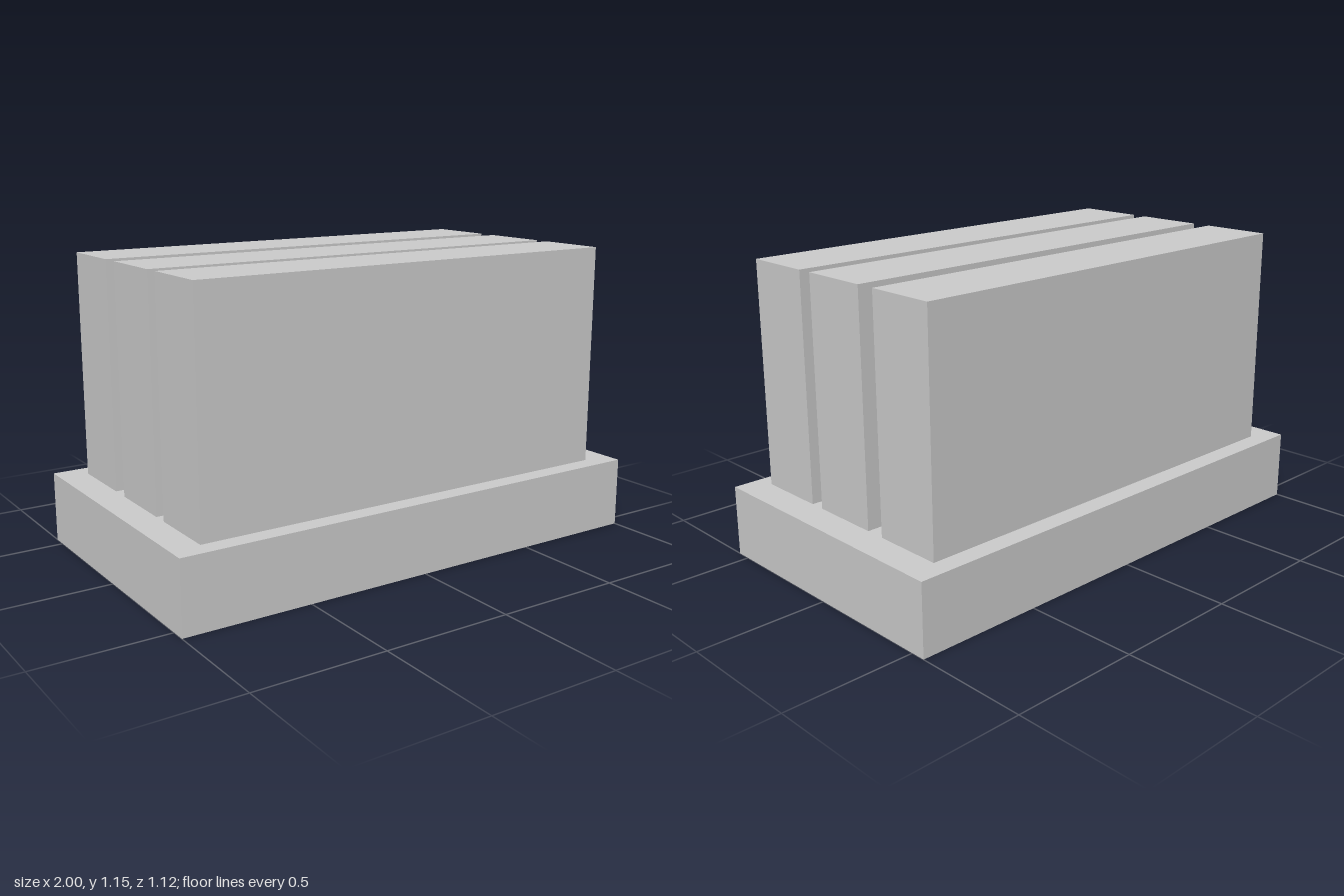
import * as THREE from 'three';

export function createModel() {
  const model = new THREE.Group();
  const material = new THREE.MeshStandardMaterial({ color: 0xcccccc, flatShading: true });

  // Adds a box standing on the given height
  function addBox(name, width, height, depth, x, bottom, z) {
    const mesh = new THREE.Mesh(new THREE.BoxGeometry(width, height, depth), material);
    mesh.name = name;
    mesh.position.set(x, bottom + height / 2, z);
    model.add(mesh);
  }

  // Plinth
  const baseHeight = 0.277;
  addBox('base', 2, baseHeight, 1.115, 0, 0, 0);

  // Three upright slabs, slightly unevenly spaced
  const slabs = { frontSlab: 0.347, middleSlab: 0.011, backSlab: -0.342 };
  for (const [name, z] of Object.entries(slabs)) {
    addBox(name, 1.772, 0.875, 0.276, -0.002, baseHeight, z);
  }

  return model;
}
